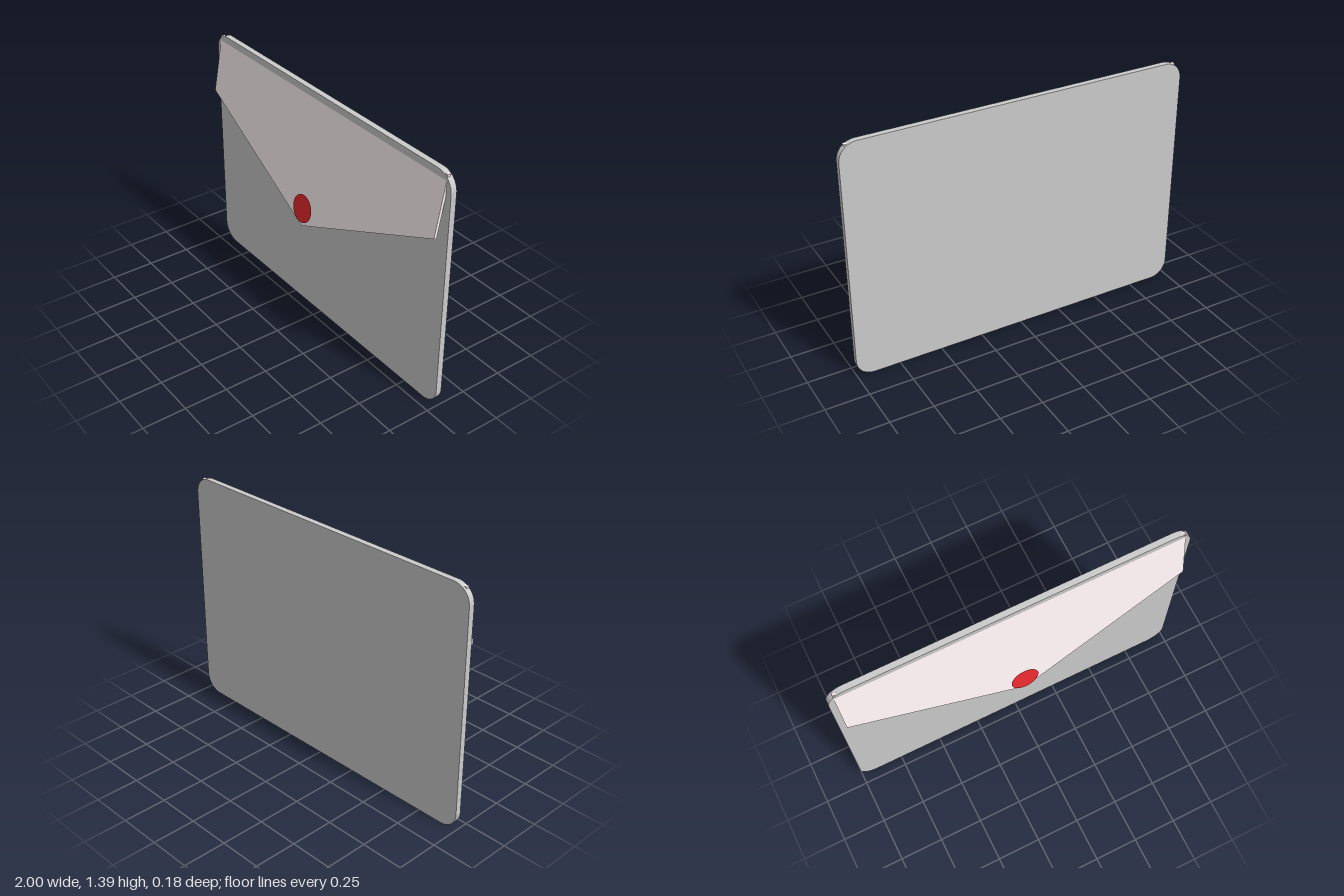
import * as THREE from 'three';

const W = 1, H = 1.39, R = 0.1;        // body half width, height, corner radius
const BACK = -0.088, DEPTH = 0.034;    // body back face and thickness
const TILT = 0.185;                    // how far the flap swings open
const FLAP_T = 0.017;

function addMesh(parent, name, geometry, color, options = {}) {
  const mesh = new THREE.Mesh(geometry, new THREE.MeshStandardMaterial({ color, ...options }));
  mesh.name = name;
  parent.add(mesh);
  return mesh;
}

function roundedRect(w, h, r) {
  const s = new THREE.Shape();
  s.absarc(w - r, r, r, -Math.PI / 2, 0);
  s.absarc(w - r, h - r, r, 0, Math.PI / 2);
  s.absarc(-w + r, h - r, r, Math.PI / 2, Math.PI);
  s.absarc(-w + r, r, r, Math.PI, Math.PI * 1.5);
  s.closePath();
  return s;
}

export function createModel() {
  const envelope = new THREE.Group();
  envelope.name = 'envelope';

  // Flat body with rounded corners
  const body = addMesh(envelope, 'body', new THREE.ExtrudeGeometry(
    roundedRect(W, H, R), { depth: DEPTH, bevelEnabled: false, curveSegments: 12 }), 0xcccccc);
  body.position.z = BACK;

  // Flap hinged at the top edge, its tip swung forward
  const flapGroup = new THREE.Group();
  flapGroup.name = 'flapGroup';
  flapGroup.position.set(0, 1.38, -0.0597);
  flapGroup.rotation.x = -TILT;
  envelope.add(flapGroup);

  const outline = new THREE.Shape([
    [-0.965, 0], [-0.965, -0.336], [0, -0.75], [0.965, -0.336], [0.965, 0],
  ].map(([x, y]) => new THREE.Vector2(x, y)));
  const flap = addMesh(flapGroup, 'flap', new THREE.ExtrudeGeometry(
    outline, { depth: FLAP_T, bevelEnabled: false }), 0xfff3f5);
  flap.position.z = -FLAP_T;

  // Thin round seal just in front of the flap's tip
  const seal = addMesh(flapGroup, 'seal', new THREE.CircleGeometry(0.08, 32), 0xe6282d,
    { side: THREE.DoubleSide });
  seal.position.set(0, -0.643, 0.014);

  return envelope;
}
